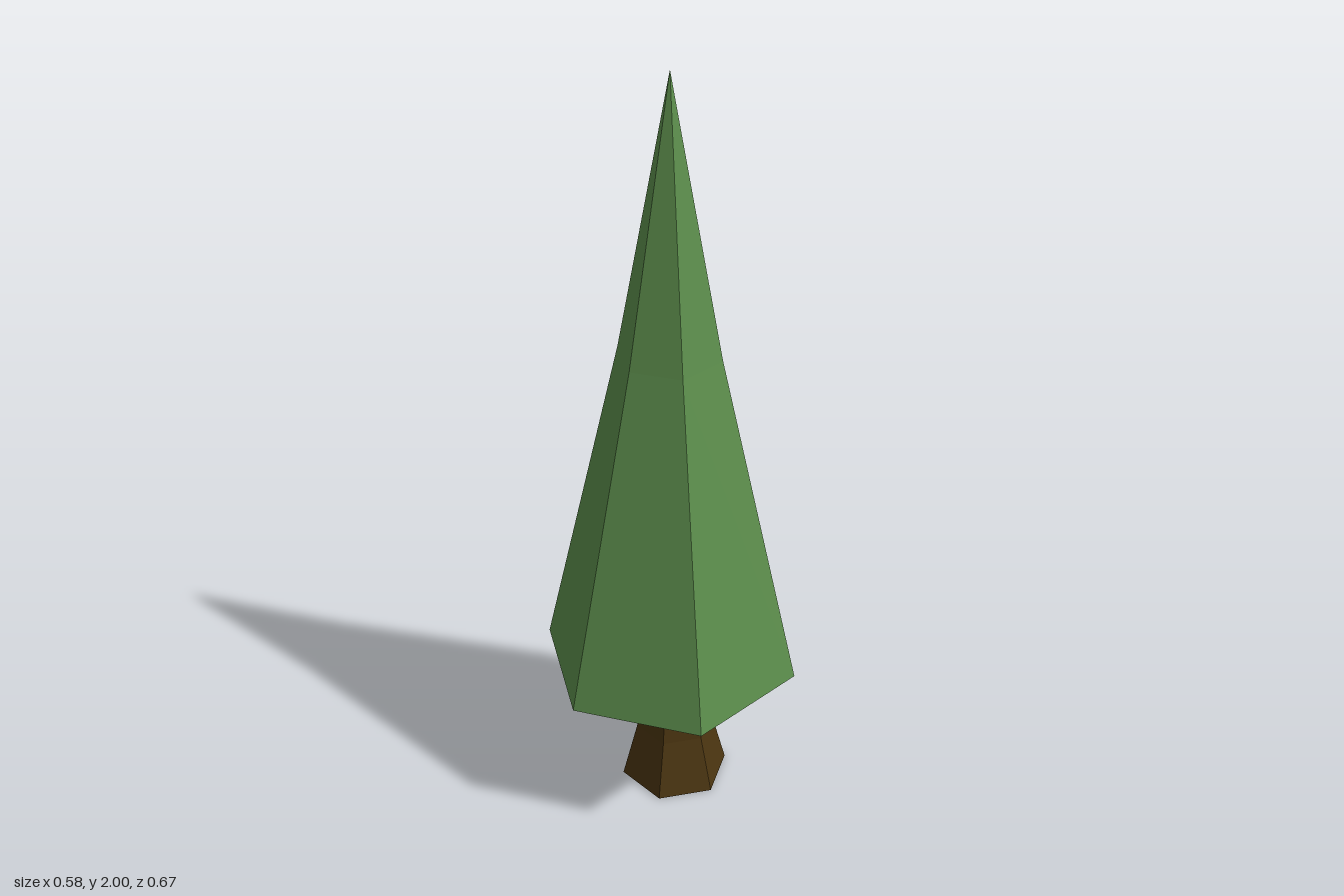
import * as THREE from 'three';

const SIDES = 6;

// Faceted six-sided surface from a [radius, height] profile
function facetedMesh(name, profile, material, turn = 0) {
  const points = profile.map(([r, y]) => new THREE.Vector2(r, y));
  const geometry = new THREE.LatheGeometry(points, SIDES, turn).toNonIndexed();
  geometry.computeVertexNormals();
  const mesh = new THREE.Mesh(geometry, material);
  mesh.name = name;
  return mesh;
}

function namedMaterial(name, color) {
  const material = new THREE.MeshStandardMaterial({ color });
  material.name = name;
  return material;
}

export function createModel() {
  const leafGreen = namedMaterial('leafGreen', 0x5d8f4d);
  const deepGreen = namedMaterial('deepGreen', 0x07650f);
  const barkBrown = namedMaterial('barkBrown', 0x4c3611);
  const cutWood = namedMaterial('cutWood', 0xa58a6a);

  const tree = new THREE.Group();
  tree.name = 'coniferTree';

  // Foliage: tall spire with a slight bend, corners on the z axis
  const foliage = new THREE.Group();
  foliage.name = 'foliage';
  foliage.add(
    facetedMesh('foliageSpire', [[0.336, 0.395], [0.13, 1.3], [0, 2]], leafGreen),
    // Shallow hollow under the foliage
    facetedMesh('foliageUnderside', [[0, 0.465], [0.336, 0.395]], deepGreen),
  );

  // Trunk: flared foot, corners on the x axis, slightly off centre
  const trunk = new THREE.Group();
  trunk.name = 'trunk';
  trunk.position.x = 0.0125;
  trunk.add(
    facetedMesh('trunkBark', [[0.143, 0], [0.103, 0.16], [0.065, 0.48]], barkBrown, Math.PI / 6),
    facetedMesh('trunkBase', [[0, 0], [0.143, 0]], cutWood, Math.PI / 6),
  );

  tree.add(foliage, trunk);
  return tree;
}
